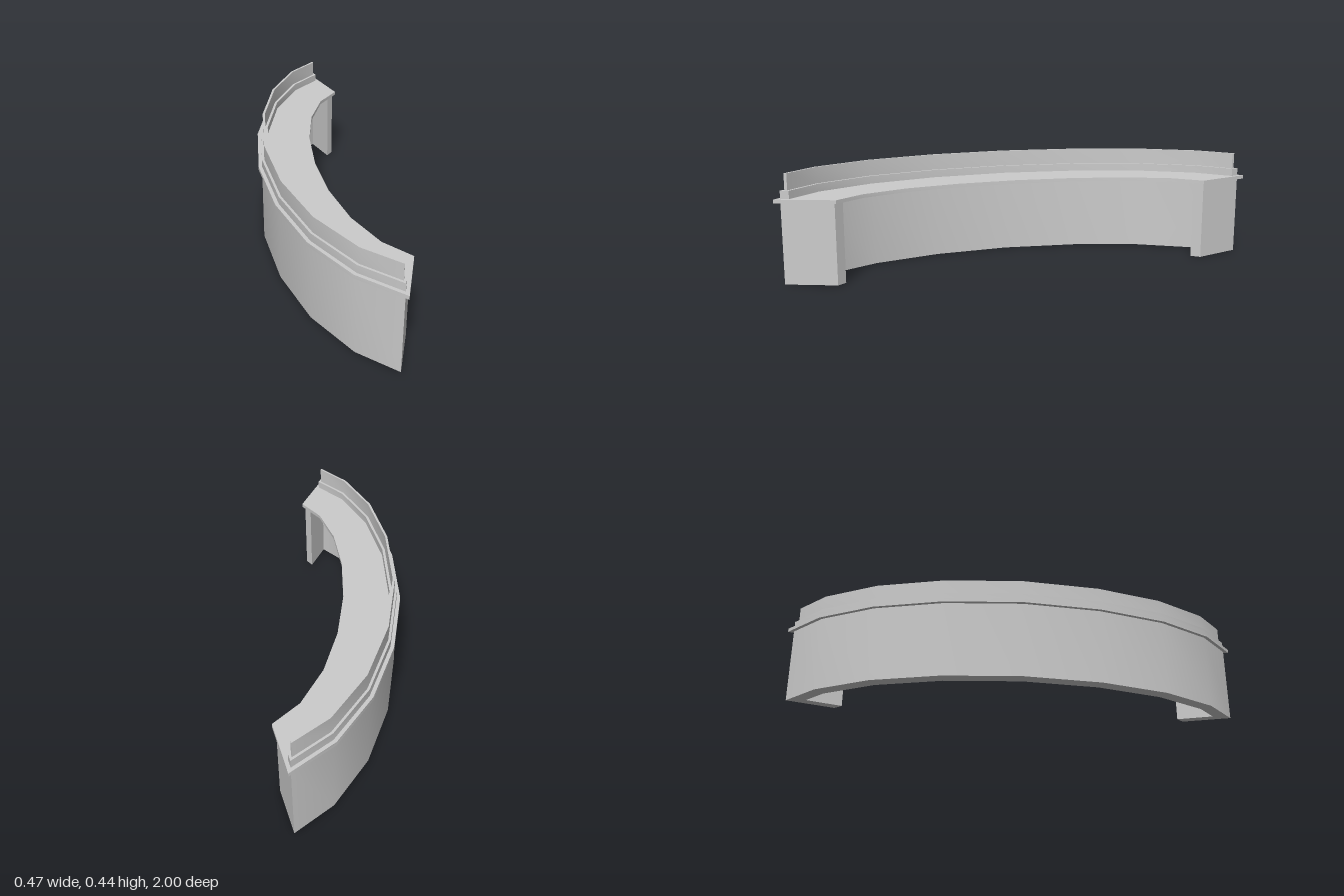
import * as THREE from 'three';
import { toCreasedNormals } from 'three/addons/utils/BufferGeometryUtils.js';

// Half plan of the curved counter as [x, z], from the middle to the end
const OUTER = [[-0.235, 0], [-0.205, 0.33], [-0.125, 0.62], [0, 0.85], [0.155, 1]];
const INNER = [[0.005, 0], [0.02, 0.25], [0.065, 0.475], [0.14, 0.66], [0.232, 0.77]];

// A line as point + direction, moved sideways by d towards the inside
function shiftedLine(a, b, d) {
  const dir = new THREE.Vector2(b[0] - a[0], b[1] - a[1]).normalize();
  return { p: new THREE.Vector2(a[0] + dir.y * d, a[1] - dir.x * d), dir };
}

function meet(l, m) {
  const t = m.p.clone().sub(l.p).cross(m.dir) / l.dir.cross(m.dir);
  return [l.p.x + l.dir.x * t, l.p.y + l.dir.y * t];
}

// Outer curve offset inwards by d, ending at a cut set in from the counter's end
function offsetCurve(d, inset) {
  const [x, z] = OUTER[1];
  const lines = [shiftedLine([x, -z], OUTER[0], d)];
  for (let i = 1; i < OUTER.length; i++) lines.push(shiftedLine(OUTER[i - 1], OUTER[i], d));
  const end = shiftedLine(OUTER[4], INNER[4], -inset);
  // the cut runs back towards the inner side, so choose the side that shortens it
  const sign = end.p.y < OUTER[4][1] ? 1 : -1;
  lines.push(sign > 0 ? end : shiftedLine(OUTER[4], INNER[4], inset));
  return lines.slice(1).map((l, i) => meet(lines[i], l));
}

// Mirrors a half outline (outer side, then inner side, both from the middle) and extrudes it
function addBand(group, name, outer, inner, y0, y1) {
  const half = [...outer, ...[...inner].reverse()];
  const other = half.slice(1, -1).reverse().map(([x, z]) => [x, -z]);
  const shape = new THREE.Shape([...half, ...other].map(([x, z]) => new THREE.Vector2(x, z)));
  let geo = new THREE.ExtrudeGeometry(shape, { depth: y1 - y0, bevelEnabled: false });
  geo.rotateX(-Math.PI / 2).translate(0, y0, 0);
  geo = toCreasedNormals(geo, THREE.MathUtils.degToRad(25));
  const mesh = new THREE.Mesh(geo, new THREE.MeshStandardMaterial({ color: 0xcccccc }));
  mesh.name = name;
  group.add(mesh);
}

export function createModel() {
  const group = new THREE.Group();
  group.name = 'curvedCounter';

  // Outer wall with a return panel at each end, open on the inner side
  const panelEnd = [[0.19, 0.742], [0.218, 0.775]];
  addBand(group, 'wallAndEndPanels', offsetCurve(0.015, 0.014),
    [...offsetCurve(0.068, 0.052), ...panelEnd], 0, 0.325);

  // Counter top
  addBand(group, 'counterTop', OUTER, INNER, 0.325, 0.34);

  // Stepped base and thin upstand along the outer edge
  addBand(group, 'upstandBase', offsetCurve(0.015, 0.014), offsetCurve(0.046, 0.014), 0.34, 0.372);
  addBand(group, 'upstand', offsetCurve(0.025, 0.023), offsetCurve(0.035, 0.023), 0.372, 0.438);

  return group;
}
